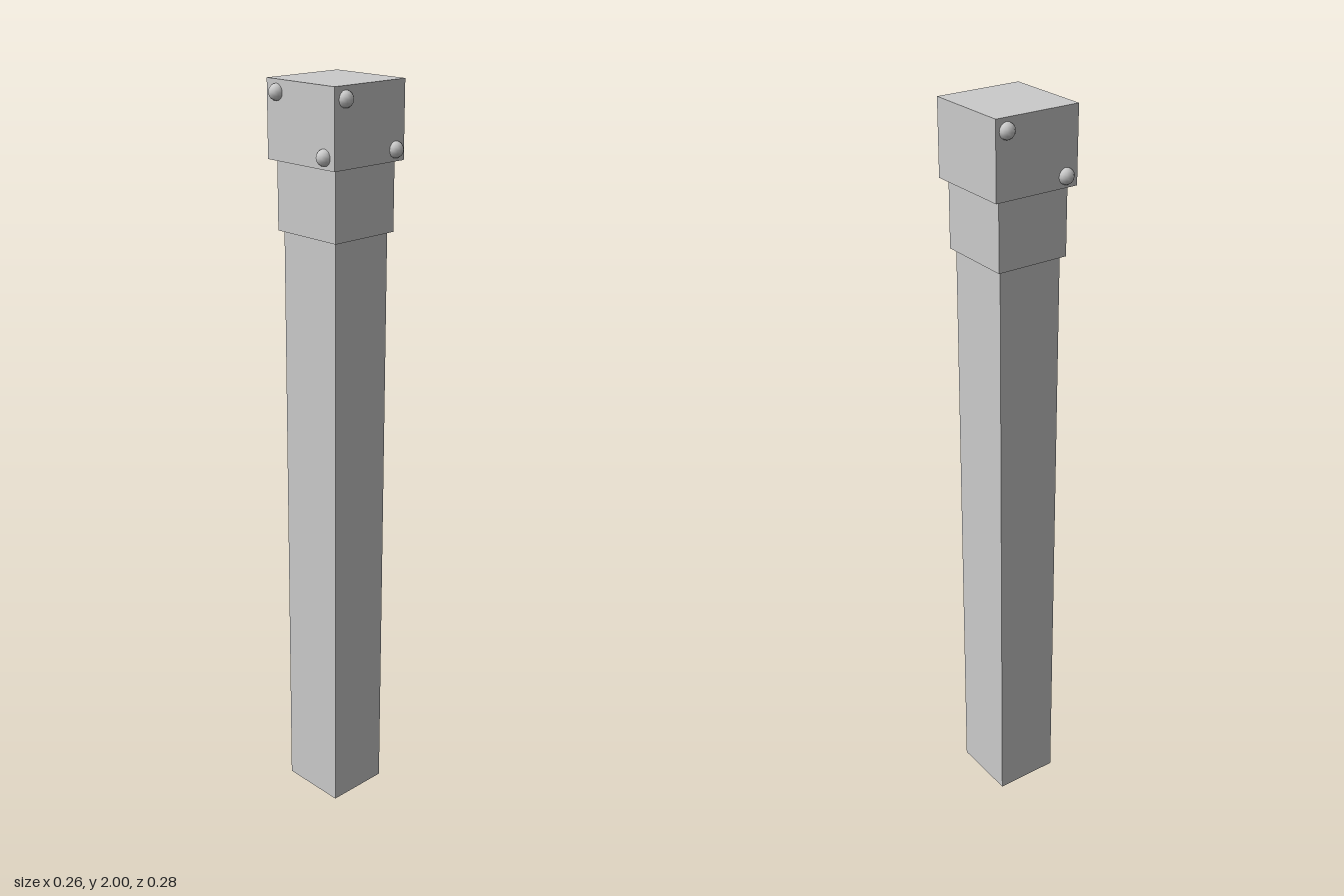
import * as THREE from 'three';

export function createModel() {
  const group = new THREE.Group();
  const material = new THREE.MeshStandardMaterial({ color: 0xcccccc });
  const cx = 0.01;

  // Square post section standing between two heights
  function block(name, width, depth, bottom, top) {
    const mesh = new THREE.Mesh(new THREE.BoxGeometry(width, top - bottom, depth), material);
    mesh.name = name;
    mesh.position.set(cx, (bottom + top) / 2, -0.001);
    group.add(mesh);
  }
  block('shaft', 0.178, 0.188, 0, 1.625);
  block('collar', 0.2, 0.21, 1.625, 1.804);
  block('head', 0.235, 0.239, 1.804, 2);

  // Round studs, half sunk into three faces of the head, on diagonals
  const high = 1.969, low = 1.833;
  const studGeometry = new THREE.SphereGeometry(0.021, 12, 8);
  const studs = {
    frontStud: [[-0.072, high, 0.118], [0.098, low, 0.118]],
    backStud: [[0.097, high, -0.12], [-0.074, low, -0.12]],
    rightStud: [[-0.107, high, -0.085], [-0.107, low, 0.083]],
  };
  for (const [name, places] of Object.entries(studs)) {
    places.forEach((p, i) => {
      const stud = new THREE.Mesh(studGeometry, material);
      stud.name = name + (i ? 'Lower' : 'Upper');
      stud.position.set(...p);
      group.add(stud);
    });
  }
  return group;
}
